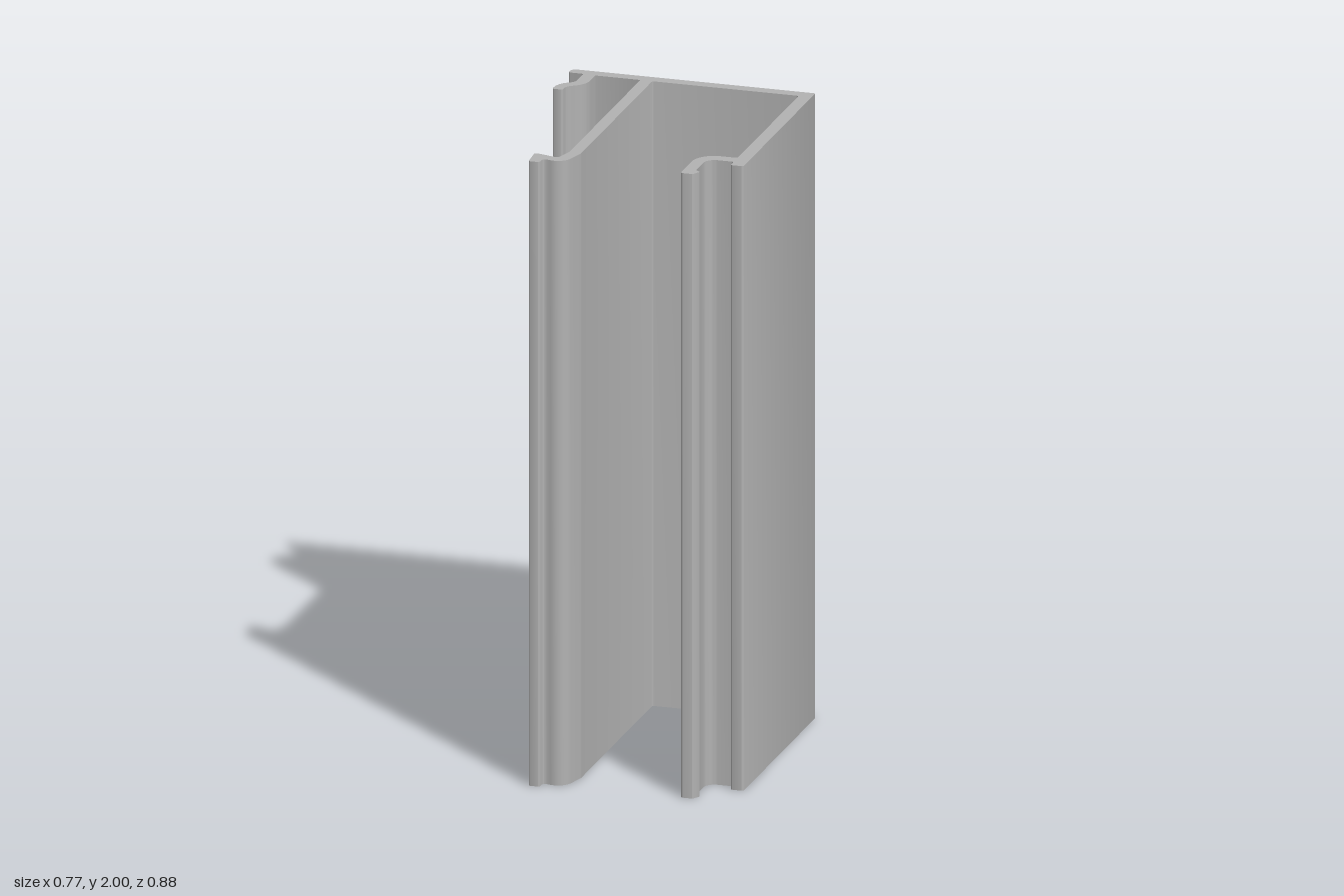
import * as THREE from 'three';
import { toCreasedNormals } from 'three/addons/utils/BufferGeometryUtils.js';

const LENGTH = 2;

// Profile corners as [x, z, fillet radius], walked once around the section
const PROFILE = [
  // back plate and right wall, outside
  [-0.388, -0.439, 0.018], [0.387, -0.439, 0.004], [0.387, 0.289, 0.007], [0.346, 0.289, 0.007],
  // right hook
  [0.346, 0.257, 0.007], [0.261, 0.257, 0.034], [0.261, 0.367, 0.008], [0.277, 0.379, 0.006],
  [0.262, 0.406, 0.008], [0.223, 0.406, 0.008], [0.223, 0.218, 0.07], [0.346, 0.218, 0.007],
  // chamber between the two walls
  [0.346, -0.401, 0.007], [-0.12, -0.401, 0.007],
  // middle wall and its foot
  [-0.12, 0.32, 0.02], [-0.146, 0.421, 0.045], [-0.214, 0.403, 0.01], [-0.216, 0.437, 0.006],
  [-0.25, 0.437, 0.006], [-0.256, 0.356, 0.008], [-0.175, 0.378, 0.012], [-0.158, 0.315, 0.01],
  [-0.158, -0.401, 0.007],
  // left S-shaped lip
  [-0.301, -0.401, 0], [-0.301, -0.308, 0.07], [-0.355, -0.277, 0.034], [-0.355, -0.242, 0.007],
  [-0.388, -0.242, 0.007], [-0.388, -0.296, 0.064], [-0.34, -0.324, 0.03], [-0.34, -0.405, 0.007],
  [-0.388, -0.405, 0.007],
];

// Closed shape with a circular fillet at each corner
function filletedShape(corners) {
  const shape = new THREE.Shape();
  const n = corners.length;
  corners.forEach(([x, y, r], i) => {
    const p = new THREE.Vector2(x, y);
    const toward = ([cx, cy]) => new THREE.Vector2(cx, cy).sub(p).normalize();
    const a = toward(corners[(i + n - 1) % n]);
    const b = toward(corners[(i + 1) % n]);
    const turn = Math.PI - Math.acos(THREE.MathUtils.clamp(a.dot(b), -1, 1));
    const d = r * Math.tan(turn / 2);
    const h = d - r * (4 / 3) * Math.tan(turn / 4);
    const at = (dir, dist) => p.clone().addScaledVector(dir, dist);
    const start = at(a, d), c1 = at(a, h), c2 = at(b, h), end = at(b, d);
    if (i === 0) shape.moveTo(start.x, start.y);
    else shape.lineTo(start.x, start.y);
    if (r > 0) shape.bezierCurveTo(c1.x, c1.y, c2.x, c2.y, end.x, end.y);
  });
  shape.closePath();
  return shape;
}

export function createModel() {
  const model = new THREE.Group();
  model.name = 'extrudedProfile';

  const aluminium = new THREE.MeshStandardMaterial({ color: 0xb2b2b2 });
  aluminium.name = 'grey aluminium';

  // Extrude the section and stand it upright
  const geometry = new THREE.ExtrudeGeometry(filletedShape(PROFILE), {
    depth: LENGTH, bevelEnabled: false, curveSegments: 8,
  });
  geometry.rotateX(Math.PI / 2);
  geometry.translate(0, LENGTH, 0);

  const bar = new THREE.Mesh(toCreasedNormals(geometry, Math.PI / 6), aluminium);
  bar.name = 'profileBar';
  model.add(bar);
  return model;
}
